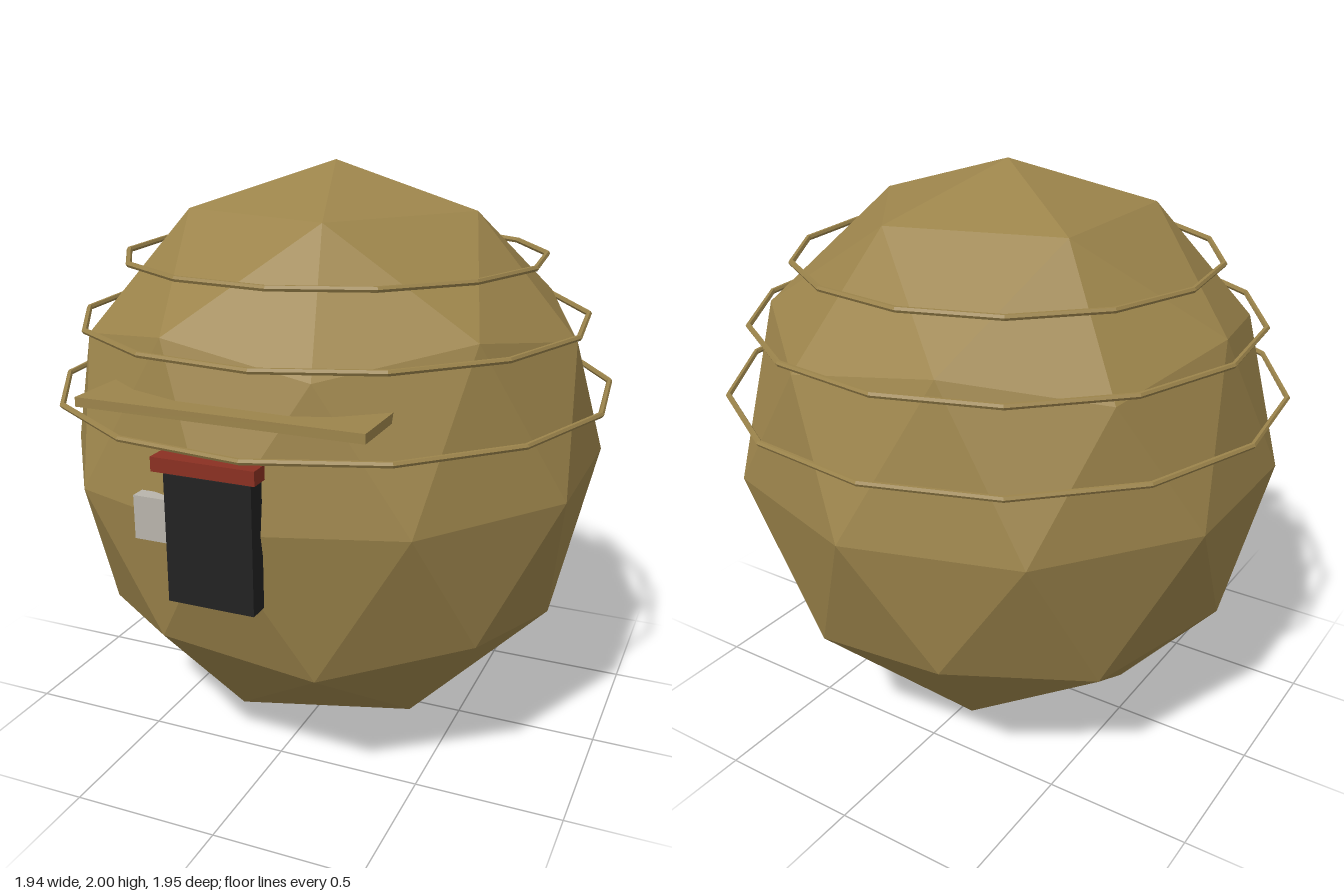
import * as THREE from 'three';

// Icosahedron with a vertex at each pole, every face split in four
function poleIcosphere() {
  const verts = [0, 1, 0];
  const faces = [];
  const y = 1 / Math.sqrt(5);
  const r = 2 * y;
  for (const [h, offset] of [[y, 0], [-y, Math.PI / 5]]) {
    for (let i = 0; i < 5; i++) {
      const a = offset + (i * Math.PI * 2) / 5;
      verts.push(r * Math.cos(a), h, r * Math.sin(a));
    }
  }
  verts.push(0, -1, 0);
  for (let i = 0; i < 5; i++) {
    const j = (i + 1) % 5;
    const [u, u2, l, l2] = [1 + i, 1 + j, 6 + i, 6 + j];
    faces.push(0, u2, u, u, u2, l, l, u2, l2, 11, l, l2);
  }
  return new THREE.PolyhedronGeometry(verts, faces, 1, 1);
}

export function createModel() {
  const model = new THREE.Group();
  model.name = 'roundHut';

  const mat = (name, color) => {
    const m = new THREE.MeshStandardMaterial({ color, flatShading: true });
    m.name = name;
    return m;
  };
  const straw = mat('straw', 0x9c844b);
  const black = mat('doorBlack', 0x222222);
  const red = mat('lintelRed', 0x8b3022);
  const grey = mat('windowGrey', 0xb8b4ac);

  const add = (name, geometry, material, x, y, z) => {
    const mesh = new THREE.Mesh(geometry, material);
    mesh.name = name;
    mesh.position.set(x, y, z);
    model.add(mesh);
    return mesh;
  };

  // Faceted body
  add('body', poleIcosphere(), straw, 0, 1, 0).scale.set(0.95, 1, 0.95);

  // Thin hoops around the upper half, turned a quarter segment
  const segments = 14;
  [[0.965, 1.244], [0.877, 1.484], [0.722, 1.69]].forEach(([radius, y], i) => {
    const hoop = new THREE.TorusGeometry(radius, 0.01, 6, segments);
    hoop.rotateX(Math.PI / 2).rotateY(-Math.PI / 2 / segments);
    add('hoop' + (i + 1), hoop, straw, 0, y, 0);
  });

  // Entrance
  add('awning', new THREE.BoxGeometry(0.935, 0.03, 0.23), straw, 0, 1.34, 0.793);
  add('door', new THREE.BoxGeometry(0.285, 0.405, 0.067), black, 0, 0.97, 0.924);
  add('lintel', new THREE.BoxGeometry(0.335, 0.045, 0.065), red, 0, 1.208, 0.951);
  add('window', new THREE.BoxGeometry(0.14, 0.14, 0.05), grey, -0.21, 1, 0.885);

  return model;
}
